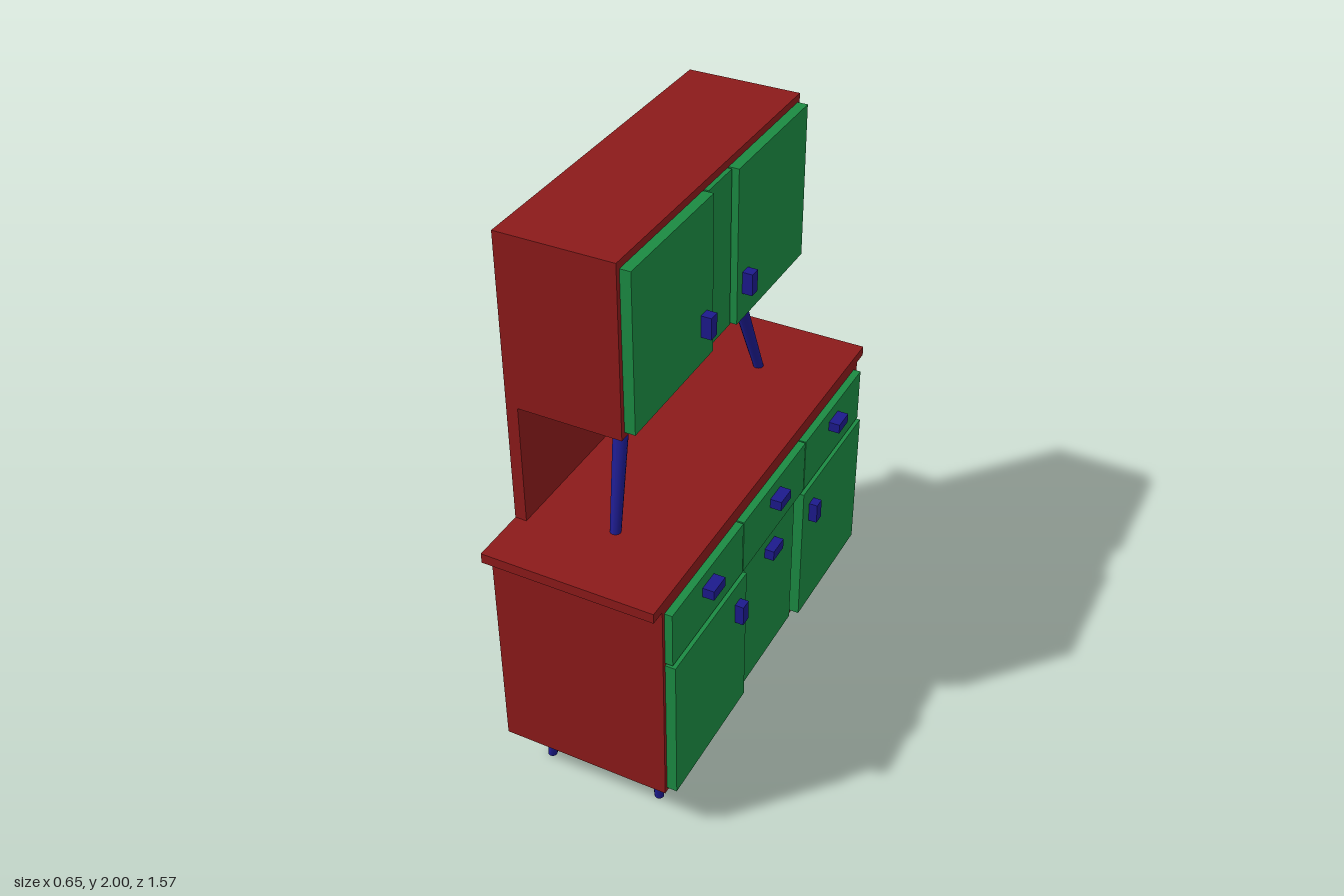
import * as THREE from 'three';

const material = (color) => new THREE.MeshStandardMaterial({ color });

export function createModel() {
  const group = new THREE.Group();
  const red = material(0x8b1a1a);
  const green = material(0x1b8a42);
  const blue = material(0x1c1a8c);

  // Box given by its [min, max] extents
  function box(name, mat, [x0, x1], [y0, y1], [z0, z1]) {
    const mesh = new THREE.Mesh(new THREE.BoxGeometry(x1 - x0, y1 - y0, z1 - z0), mat);
    mesh.name = name;
    mesh.position.set((x0 + x1) / 2, (y0 + y1) / 2, (z0 + z1) / 2);
    group.add(mesh);
  }

  // Tapered slanted leg with level ends: a cylinder sheared from bottom to top
  function leg(name, bottom, top, rBottom, rTop) {
    const h = top[1] - bottom[1];
    const geo = new THREE.CylinderGeometry(rTop, rBottom, h, 12);
    const p = geo.attributes.position;
    for (let i = 0; i < p.count; i++) {
      const t = p.getY(i) / h + 0.5;
      p.setXYZ(i,
        p.getX(i) + THREE.MathUtils.lerp(bottom[0], top[0], t),
        bottom[1] + t * h,
        p.getZ(i) + THREE.MathUtils.lerp(bottom[2], top[2], t));
    }
    geo.computeVertexNormals();
    const mesh = new THREE.Mesh(geo, mat(blue));
    mesh.name = name;
    group.add(mesh);
  }
  function mat(m) { return m; }

  // Carcass
  box('baseCabinet', red, [-0.33, 0.26], [0.175, 0.955], [-0.733, 0.733]);
  box('countertop', red, [-0.33, 0.26], [0.955, 0.99], [-0.785, 0.785]);
  box('backPanel', red, [-0.33, -0.29], [0.99, 1.415], [-0.59, 0.59]);
  box('upperCabinet', red, [-0.33, 0.06], [1.415, 2], [-0.59, 0.59]);

  // Drawers with wide handles
  for (const [z0, z1, hz] of [[0.243, 0.72, 0.486], [-0.23, 0.238, 0.004], [-0.705, -0.235, -0.47]]) {
    box('drawer', green, [0.26, 0.286], [0.74, 0.94], [z0, z1]);
    box('drawerHandle', blue, [0.286, 0.325], [0.86, 0.895], [hz - 0.038, hz + 0.038]);
  }

  // Lower doors with upright handles, recessed middle panel
  for (const [z0, z1, hz] of [[0.23, 0.72, 0.293], [-0.71, -0.217, -0.288]]) {
    box('lowerDoor', green, [0.26, 0.295], [0.19, 0.73], [z0, z1]);
    box('lowerDoorHandle', blue, [0.295, 0.325], [0.583, 0.657], [hz - 0.019, hz + 0.019]);
  }
  box('lowerMiddlePanel', green, [0.26, 0.272], [0.19, 0.73], [-0.19, 0.202]);
  box('lowerMiddleHandle', blue, [0.272, 0.305], [0.64, 0.678], [-0.034, 0.042]);

  // Upper doors with upright handles, recessed middle panel
  for (const [z0, z1, hz] of [[0.083, 0.573, 0.144], [-0.575, -0.083, -0.137]]) {
    box('upperDoor', green, [0.06, 0.095], [1.435, 1.975], [z0, z1]);
    box('upperDoorHandle', blue, [0.095, 0.13], [1.53, 1.606], [hz - 0.019, hz + 0.019]);
  }
  box('upperMiddlePanel', green, [0.06, 0.075], [1.435, 1.975], [-0.075, 0.076]);

  // Mirrored legs and slanted struts
  for (const s of [-1, 1]) {
    leg('frontLeg', [0.172, 0, s * 0.613], [0.157, 0.175, s * 0.6], 0.016, 0.023);
    leg('backLeg', [-0.241, 0, s * 0.613], [-0.226, 0.175, s * 0.6], 0.016, 0.023);
    leg('strut', [-0.021, 0.99, s * 0.508], [-0.062, 1.415, s * 0.366], 0.018, 0.027);
  }
  return group;
}
